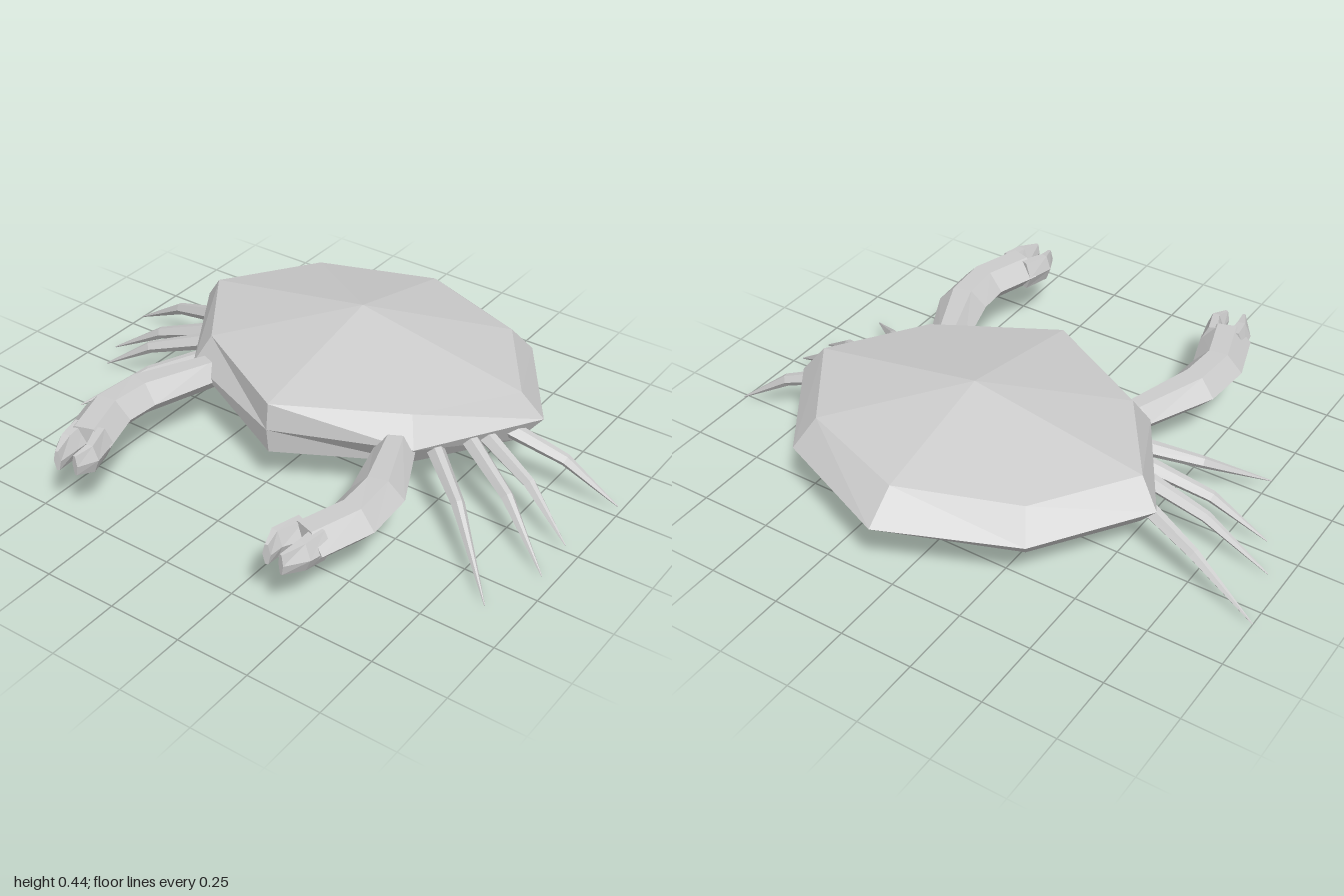
import * as THREE from 'three';

const V = (x, y, z) => new THREE.Vector3(x, y, z);
const CX = 0.035; // symmetry plane of the shell
const material = new THREE.MeshStandardMaterial({ color: 0xcccccc, flatShading: true });

// Skin a list of rings; each end closes in a fan to its end point
function skin(name, rings, start, end) {
  const pos = [];
  const tri = (...pts) => pts.forEach((p) => pos.push(p.x, p.y, p.z));
  const n = rings[0].length;
  const last = rings[rings.length - 1];
  for (let i = 0; i < n; i++) {
    const k = (i + 1) % n;
    tri(start, rings[0][i], rings[0][k]);
    for (let j = 0; j < rings.length - 1; j++) {
      const a = rings[j], b = rings[j + 1];
      tri(a[i], b[i], b[k]);
      tri(a[i], b[k], a[k]);
    }
    tri(end, last[k], last[i]);
  }
  const geo = new THREE.BufferGeometry();
  geo.setAttribute('position', new THREE.Float32BufferAttribute(pos, 3));
  geo.computeVertexNormals();
  const mesh = new THREE.Mesh(geo, material);
  mesh.name = name;
  return mesh;
}

// Hexagonal limb along a path; sizes are [half width, half height] per point
const HEX = [[1, 0], [0.38, 1], [-0.38, 1], [-1, 0], [-0.38, -1], [0.38, -1]];
function limb(name, path, sizes) {
  const rings = path.map((p, i) => {
    const next = path[Math.min(i + 1, path.length - 1)];
    const prev = path[Math.max(i - 1, 0)];
    const t = next.clone().sub(prev).normalize();
    const side = t.clone().cross(V(0, 1, 0)).normalize();
    const up = side.clone().cross(t);
    const [w, h] = sizes[i];
    return HEX.map(([a, b]) => p.clone().addScaledVector(side, a * w).addScaledVector(up, b * h));
  });
  return skin(name, rings, path[0], path[path.length - 1]);
}

// Eight-cornered shell ring: rear, rear side, side, front side, front, then mirrored
function shellRing(y, half) {
  const mirrored = half.slice(1, -1).reverse().map(([x, z]) => [-x, z]);
  return [...half, ...mirrored].map(([x, z]) => V(CX + x, y, z));
}

export function createModel() {
  const model = new THREE.Group();
  model.name = 'crab';

  // Shell: wide middle rim, narrower rims above and below, shallow peaks
  const inner = [[0, -0.69], [0.39, -0.55], [0.605, -0.24], [0.395, 0.065], [0, 0.28]];
  const outer = [[0, -0.8], [0.435, -0.62], [0.675, -0.27], [0.435, 0.115], [0, 0.29]];
  model.add(skin('shell',
    [shellRing(0.157, inner), shellRing(0.245, outer), shellRing(0.337, inner)],
    V(CX, 0.105, -0.24), V(CX, 0.445, -0.24)));

  // Claws: curved arm ending in two pincers
  for (const s of [1, -1]) {
    const at = ([x, z, y = 0.237]) => V(CX + s * x, y, z);
    const claw = new THREE.Group();
    claw.name = s > 0 ? 'leftClaw' : 'rightClaw';
    claw.add(limb('arm',
      [[0.34, 0.04, 0.23], [0.375, 0.13, 0.232], [0.463, 0.355], [0.473, 0.5], [0.42, 0.665]].map(at),
      [[0.055, 0.045], [0.065, 0.05], [0.086, 0.057], [0.086, 0.058], [0.085, 0.057]]));
    claw.add(limb('innerPincer',
      [[0.385, 0.63], [0.352, 0.715], [0.365, 0.772]].map(at),
      [[0.04, 0.052], [0.03, 0.048], [0.013, 0.035]]));
    claw.add(limb('outerPincer',
      [[0.458, 0.64], [0.449, 0.715], [0.425, 0.785]].map(at),
      [[0.045, 0.054], [0.036, 0.048], [0.012, 0.035]]));
    model.add(claw);
  }

  // Legs: root, knee and tip as [x, y, z]
  const legs = {
    leftLeg: [
      [[0.46, 0.225, 0.0], [0.66, 0.15, 0.155], [0.885, 0.005, 0.36]],
      [[0.53, 0.225, -0.09], [0.76, 0.145, 0.03], [0.955, 0.005, 0.145]],
      [[0.55, 0.225, -0.14], [0.78, 0.145, -0.07], [0.955, 0.03, 0.003]],
      [[0.58, 0.225, -0.2], [0.81, 0.145, -0.245], [0.99, 0.02, -0.278]],
    ],
    rightLeg: [
      [[-0.39, 0.225, 0.0], [-0.585, 0.145, 0.13], [-0.76, 0.03, 0.295]],
      [[-0.45, 0.225, -0.06], [-0.69, 0.14, 0.0], [-0.875, 0.02, 0.033]],
      [[-0.48, 0.225, -0.115], [-0.72, 0.14, -0.095], [-0.94, 0.005, -0.087]],
      [[-0.52, 0.225, -0.205], [-0.77, 0.14, -0.265], [-1, 0.005, -0.308]],
    ],
  };
  for (const [name, list] of Object.entries(legs)) {
    list.forEach((pts, i) => model.add(limb(`${name}${i + 1}`, pts.map((p) => V(...p)),
      [[0.032, 0.028], [0.022, 0.019], [0.002, 0.002]])));
  }
  return model;
}
